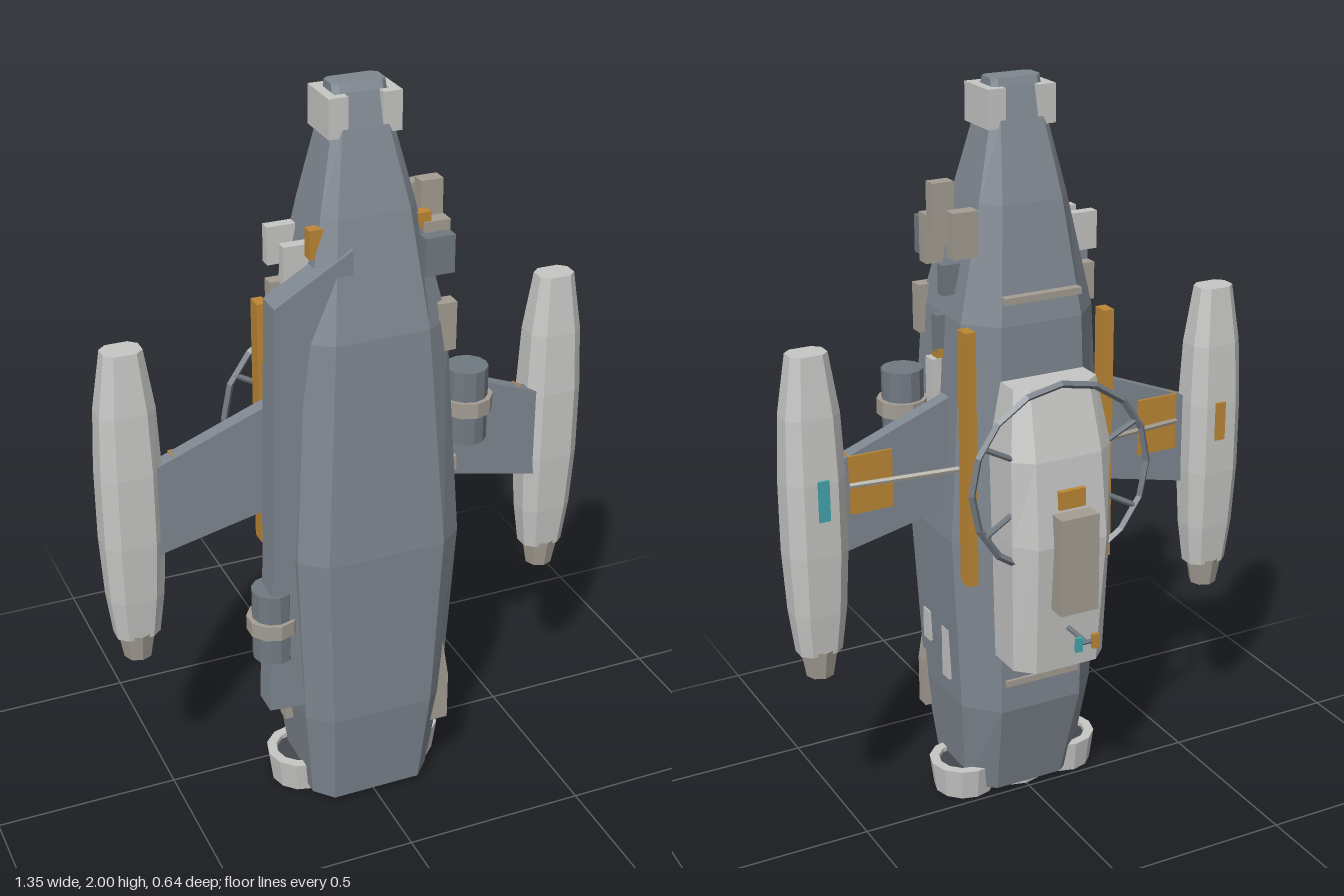
import * as THREE from 'three';

const mat = (name, color) => {
  const m = new THREE.MeshStandardMaterial({ color });
  m.name = name;
  return m;
};

export function createModel() {
  const root = new THREE.Group();
  root.name = 'spaceship';
  const slate = mat('slate hull', 0x7f8790);
  const pale = mat('pale grey', 0xc6c6c5);
  const taupe = mat('taupe', 0xa39d93);
  const ochre = mat('ochre', 0xbd8735);
  const teal = mat('teal', 0x45a3ad);
  const dark = mat('dark engine', 0x44474c);
  const steel = mat('steel', 0x717981);

  // Faceted mesh from any geometry
  const add = (name, geo, material, parent = root) => {
    const g = geo.index ? geo.toNonIndexed() : geo;
    g.computeVertexNormals();
    const mesh = new THREE.Mesh(g, material);
    mesh.name = name;
    parent.add(mesh);
    return mesh;
  };
  // Box given by its limits on each axis
  const box = (name, m, x0, x1, y0, y1, z0, z1, parent) =>
    add(name, new THREE.BoxGeometry(x1 - x0, y1 - y0, z1 - z0)
      .translate((x0 + x1) / 2, (y0 + y1) / 2, (z0 + z1) / 2), m, parent);
  const rod = (name, m, a, b, r) => {
    const p = new THREE.Vector3(...a), q = new THREE.Vector3(...b);
    const mesh = add(name, new THREE.CylinderGeometry(r, r, p.distanceTo(q), 6), m);
    mesh.position.copy(p).add(q).multiplyScalar(0.5);
    mesh.quaternion.setFromUnitVectors(new THREE.Vector3(0, 1, 0), q.sub(p).normalize());
    return mesh;
  };
  // Eight-sided skin through cross-sections:
  // [y, side half width, front half width, back half width, front z, front side z, back side z, back z]
  const loft = (sections) => {
    const rings = sections.map(([y, h, hf, hb, zf, zfs, zbs, zb]) => [
      [h, zbs], [h, zfs], [hf, zf], [-hf, zf], [-h, zfs], [-h, zbs], [-hb, zb], [hb, zb],
    ].map(([x, z]) => [x, y, z]));
    const pos = [];
    const tri = (...v) => v.forEach((p) => pos.push(...p));
    for (let k = 0; k < rings.length - 1; k++) {
      for (let i = 0; i < 8; i++) {
        const j = (i + 1) % 8, b = rings[k], t = rings[k + 1];
        tri(b[i], t[i], b[j]);
        tri(b[j], t[i], t[j]);
      }
    }
    const b = rings[0], t = rings[rings.length - 1];
    for (let i = 1; i < 7; i++) {
      tri(b[0], b[i], b[i + 1]);
      tri(t[0], t[i + 1], t[i]);
    }
    const g = new THREE.BufferGeometry();
    g.setAttribute('position', new THREE.Float32BufferAttribute(pos, 3));
    return g;
  };

  // Main hull
  add('hull', loft([
    [0.02, 0.17, 0.125, 0.1, 0.27, 0.22, 0.06, 0.0],
    [0.3, 0.2, 0.14, 0.12, 0.305, 0.25, 0.015, -0.07],
    [0.8, 0.225, 0.16, 0.13, 0.32, 0.265, 0.01, -0.08],
    [1.4, 0.19, 0.125, 0.115, 0.28, 0.24, 0.01, -0.07],
    [1.7, 0.125, 0.095, 0.085, 0.22, 0.185, 0.03, -0.02],
    [1.9, 0.08, 0.06, 0.06, 0.165, 0.145, 0.055, 0.035],
    [1.98, 0.07, 0.055, 0.055, 0.14, 0.125, 0.07, 0.055],
    [2.0, 0.07, 0.055, 0.055, 0.13, 0.118, 0.074, 0.062],
  ]), slate);

  // Rear module with its box, plate and aerial
  add('rearModule', loft([
    [0.48, 0.135, 0.135, 0.09, -0.05, -0.06, -0.165, -0.21],
    [0.85, 0.145, 0.145, 0.1, -0.05, -0.06, -0.18, -0.24],
    [1.08, 0.145, 0.145, 0.095, -0.05, -0.06, -0.175, -0.215],
    [1.26, 0.12, 0.12, 0.085, -0.05, -0.06, -0.14, -0.165],
  ]), pale);
  box('moduleBox', taupe, -0.055, 0.055, 0.67, 0.94, -0.28, -0.22);
  box('modulePlate', ochre, -0.038, 0.038, 0.95, 1.0, -0.238, -0.21);
  rod('aerialStem', steel, [0, 0.6, -0.2], [0, 0.6, -0.312], 0.007);
  rod('aerialBar', steel, [-0.03, 0.6, -0.312], [0.03, 0.6, -0.312], 0.006);
  box('aerialTip', ochre, -0.036, -0.016, 0.58, 0.62, -0.32, -0.31);
  box('aerialTip', teal, 0.013, 0.032, 0.58, 0.62, -0.32, -0.31);

  // Hoop around the rear module, with spokes
  add('hoop', new THREE.TorusGeometry(0.256, 0.01, 4, 16).translate(0, 1.01, -0.175), steel);
  for (const a of [0.5, 2.64, 3.64, 5.78]) {
    const c = Math.cos(a), s = Math.sin(a);
    rod('hoopSpoke', steel, [0.12 * c, 1.01 + 0.12 * s, -0.165], [0.256 * c, 1.01 + 0.256 * s, -0.175], 0.008);
  }
  // Rails across the back of the hull
  for (const y of [0.39, 1.47]) box('backRail', taupe, -0.11, 0.11, y - 0.009, y + 0.009, -0.08, -0.045);

  // Engine rings under the tail
  const ringProfile = [[0.085, 0], [0.097, 0.09], [0.07, 0.09], [0.068, 0], [0.085, 0]]
    .map(([x, y]) => new THREE.Vector2(x, y));
  for (const x of [-0.155, 0, 0.155]) {
    add('engineRing', new THREE.LatheGeometry(ringProfile, 12).translate(x, 0, 0.1), pale);
    add('engineCore', new THREE.CylinderGeometry(0.072, 0.072, 0.06, 12).translate(x, 0.047, 0.1), dark);
  }

  // Wings, nacelles and everything mirrored
  for (const s of [-1, 1]) {
    const side = (name, m, x0, x1, ...rest) =>
      box(name, m, Math.min(s * x0, s * x1), Math.max(s * x0, s * x1), ...rest);

    const wing = new THREE.Shape([[0.15, 0.895], [0.55, 0.805], [0.55, 1.055], [0.15, 1.21]]
      .map(([x, y]) => new THREE.Vector2(s * x, y)));
    add('wing', new THREE.ExtrudeGeometry(wing, { depth: 0.04, bevelEnabled: false }).translate(0, 0, 0.06), slate);
    side('wingPanel', ochre, 0.37, 0.49, 0.92, 1.08, 0.053, 0.09);
    rod('wingStrut', taupe, [s * 0.2, 1.02, -0.02], [s * 0.49, 1.0, 0.055], 0.008);
    side('sideRail', ochre, 0.185, 0.215, 0.7, 1.4, -0.065, -0.02);

    const ring = (y, h, d) => [y, h, h * 0.58, h * 0.58, d, d * 0.5, -d * 0.5, -d];
    add('nacelle', loft([
      ring(0.56, 0.058, 0.042), ring(0.68, 0.072, 0.055), ring(0.85, 0.08, 0.065),
      ring(1.05, 0.08, 0.065), ring(1.22, 0.073, 0.056), ring(1.38, 0.05, 0.038),
    ]).translate(s * 0.595, 0, 0.05), pale);
    const nozzle = [[0.038, 0.49], [0.052, 0.57], [0.03, 0.57], [0.027, 0.49], [0.038, 0.49]]
      .map(([x, y]) => new THREE.Vector2(x, y));
    add('nacelleNozzle', new THREE.LatheGeometry(nozzle, 8).translate(s * 0.595, 0, 0.05), taupe);
    add('nozzleCore', new THREE.CylinderGeometry(0.029, 0.029, 0.05, 8).translate(s * 0.595, 0.53, 0.05), dark);
    side('nacelleMarker', s > 0 ? teal : ochre, 0.575, 0.605, 0.95, 1.06, -0.021, -0.012);

    // Pod on the flank
    const py = s > 0 ? 1.137 : 0.6;
    add('flankPod', new THREE.CylinderGeometry(0.056, 0.056, 0.205, 12).translate(s * 0.27, py, 0.2), steel);
    add('podCollar', new THREE.CylinderGeometry(0.068, 0.068, 0.042, 10).translate(s * 0.272, py, 0.2), taupe);

    // Nose bracket, C-shaped in plan
    side('noseBracket', pale, 0.07, 0.095, 1.88, 1.98, 0.035, 0.165);
    side('noseBracketFront', pale, 0.045, 0.09, 1.88, 1.98, 0.14, 0.165);
    side('noseBracketBack', pale, 0.045, 0.09, 1.88, 1.98, 0.035, 0.06);

    side('shoulderLight', ochre, 0.125, 0.16, 1.6, 1.675, 0.17, 0.2);
    side('flankStrip', pale, 0.18, 0.212, 0.36, 0.51, 0.07, 0.11);
    side('flankStrip', pale, 0.18, 0.215, 0.43, 0.52, 0.18, 0.22);
  }

  // Blocks on the left flank: material, x range, y range, z range
  [
    [taupe, 0.15, 0.21, 1.61, 1.74, 0.12, 0.16],
    [taupe, 0.14, 0.21, 1.57, 1.69, 0.005, 0.045],
    [taupe, 0.14, 0.21, 1.52, 1.65, 0.165, 0.205],
    [steel, 0.12, 0.2, 1.53, 1.63, 0.22, 0.255],
    [steel, 0.16, 0.21, 1.46, 1.54, 0.07, 0.1],
    [taupe, 0.16, 0.21, 1.32, 1.45, 0.215, 0.255],
    [steel, 0.18, 0.215, 1.3, 1.4, 0.1, 0.13],
    [ochre, 0.18, 0.215, 1.285, 1.31, 0.1, 0.13],
    [pale, 0.19, 0.225, 1.13, 1.28, 0.11, 0.15],
    [taupe, 0.2, 0.232, 0.96, 1.0, 0.195, 0.235],
  ].forEach((b) => box('leftFlankBlock', ...b));

  // Blocks on the right flank
  [
    [pale, -0.215, -0.14, 1.54, 1.64, 0.03, 0.06],
    [pale, -0.215, -0.14, 1.53, 1.63, 0.14, 0.17],
    [taupe, -0.215, -0.16, 1.4, 1.5, 0.04, 0.075],
    [taupe, -0.215, -0.16, 0.22, 0.34, 0.1, 0.135],
  ].forEach((b) => box('rightFlankBlock', ...b));

  // Tapered fin low on the left flank
  const fin = new THREE.Shape([[0.15, 0.2], [0.21, 0.2], [0.21, 0.34], [0.19, 0.46], [0.15, 0.46]]
    .map((p) => new THREE.Vector2(...p)));
  add('lowerFin', new THREE.ExtrudeGeometry(fin, { depth: 0.04, bevelEnabled: false }).translate(0, 0, 0.23), taupe);

  // Long armour slab on the right flank
  const slab = new THREE.Shape([[-0.065, 1.63], [-0.27, 1.51], [-0.285, 0.8], [-0.3, 0.35], [-0.1, 0.33]]
    .map((p) => new THREE.Vector2(...p)));
  add('armourSlab', new THREE.ExtrudeGeometry(slab, { depth: 0.075, bevelEnabled: false }).translate(0, 0, 0.172), slate);

  return root;
}
